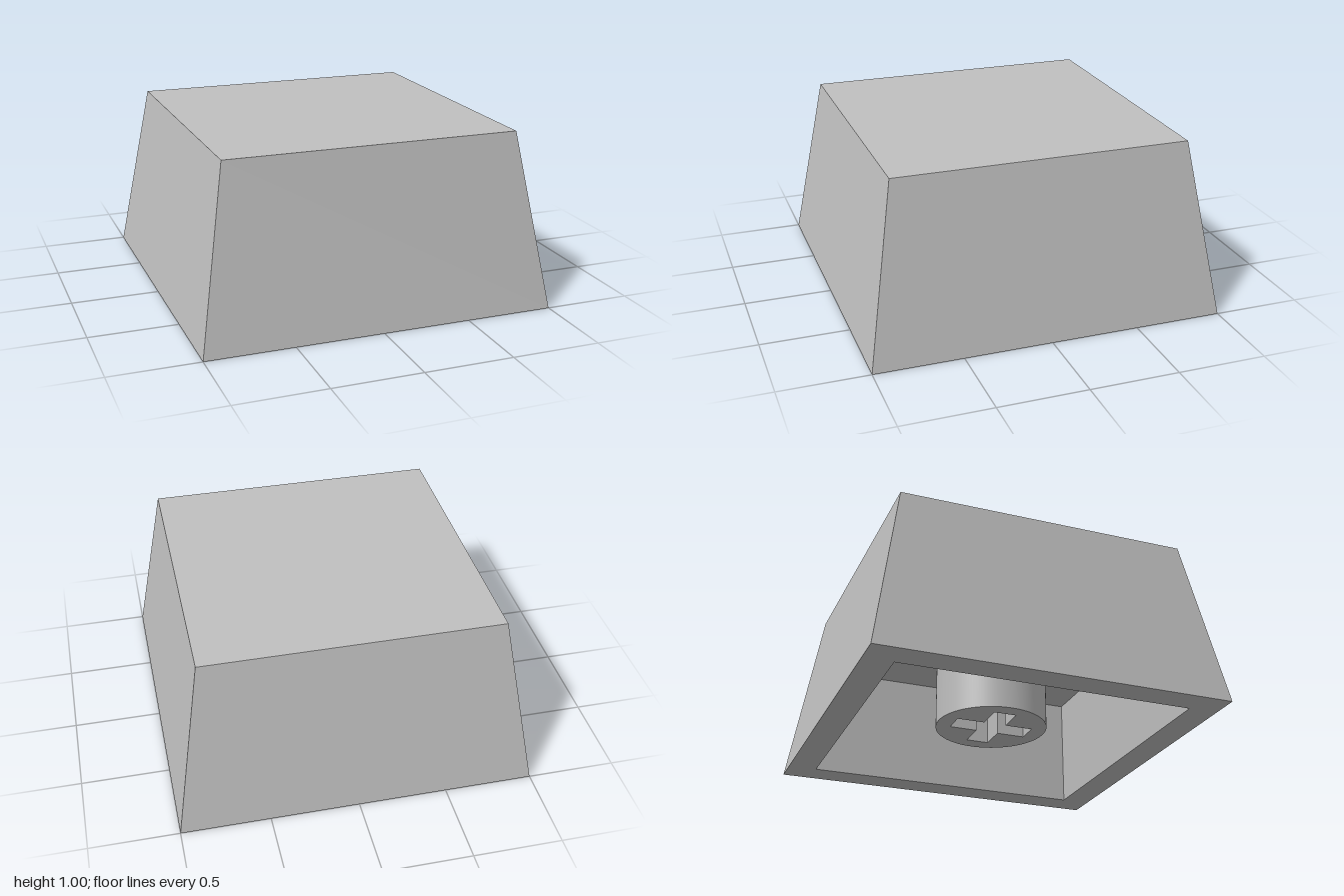
import * as THREE from 'three';
import { toCreasedNormals } from 'three/addons/utils/BufferGeometryUtils.js';

const TOP = 0.833;      // half width of the top face and of the hollow
const CEILING = 0.667;  // height of the hollow
const STEM_BASE = 0.08;

// Tapered square shell with a straight-sided hollow: a four-sided lathe
function shellGeometry() {
  const profile = [[0, CEILING], [TOP, CEILING], [TOP, 0], [1, 0], [TOP, 1], [0, 1]]
    .map(([r, y]) => new THREE.Vector2(r * Math.SQRT2, y));
  const geometry = new THREE.LatheGeometry(profile, 4, Math.PI / 4).toNonIndexed();
  geometry.computeVertexNormals();
  return geometry;
}

// Round stem with a cross-shaped socket
function stemGeometry() {
  const shape = new THREE.Shape().absarc(0, 0, 0.322, 0, Math.PI * 2, false);
  const l = 0.228, w = 0.065;
  const quarter = [[l, -w], [l, w], [w, w]];
  const cross = [];
  for (let i = 0; i < 4; i++) {
    for (const [x, y] of quarter) {
      cross.push(new THREE.Vector2(x, y).rotateAround(new THREE.Vector2(), i * Math.PI / 2));
    }
  }
  shape.holes.push(new THREE.Path(cross));
  const geometry = new THREE.ExtrudeGeometry(shape, {
    depth: CEILING + 0.02 - STEM_BASE, bevelEnabled: false, curveSegments: 64,
  });
  geometry.rotateX(-Math.PI / 2).translate(0, STEM_BASE, 0);
  return toCreasedNormals(geometry, 0.5);
}

export function createModel() {
  const grey = new THREE.MeshStandardMaterial({ color: 0xc0c0c0 });
  grey.name = 'light grey plastic';

  const group = new THREE.Group();
  group.name = 'keycap';

  const shell = new THREE.Mesh(shellGeometry(), grey);
  shell.name = 'shell';
  const stem = new THREE.Mesh(stemGeometry(), grey);
  stem.name = 'stem';

  group.add(shell, stem);
  return group;
}
